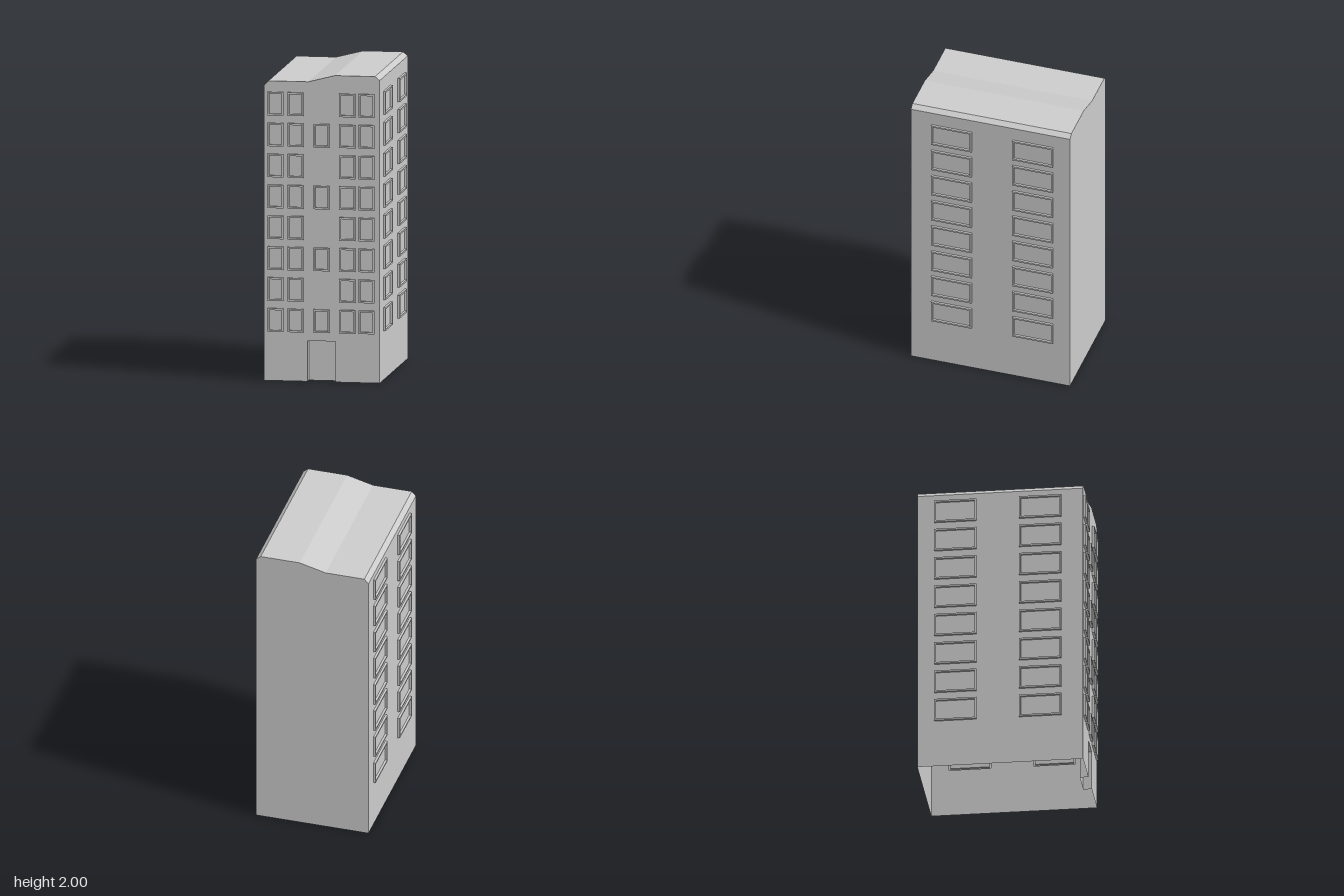
import * as THREE from 'three';

const material = new THREE.MeshStandardMaterial({ color: 0xcccccc, flatShading: true, side: THREE.DoubleSide });

const HALF_W = 0.378, FRONT = 0.532, BACK = -0.545;
const FRAME = 0.011, OUT = 0.015, WINDOW_H = 0.152;
const DOOR = { x0: -0.095, x1: 0.09, h: 0.265, depth: 0.055 };
const rows = Array.from({ length: 8 }, (_, i) => 0.32 + i * 0.2017);

// Roof line from left to right across the front
const roofLine = [[-HALF_W, 1.925], [-0.35, 1.955], [-0.09, 1.955], [0.085, 2], [0.347, 2], [HALF_W, 1.975]];

function addMesh(parent, geometry, name) {
  const mesh = new THREE.Mesh(geometry, material);
  mesh.name = name;
  parent.add(mesh);
  return mesh;
}

// Joins successive loops of 3D points with quads
function loft(loops, closed) {
  const n = loops[0].length, index = [];
  for (let l = 0; l < loops.length - 1; l++) {
    for (let i = 0; i < (closed ? n : n - 1); i++) {
      const a = l * n + i, b = l * n + (i + 1) % n;
      index.push(a, b, b + n, a, b + n, a + n);
    }
  }
  if (closed) { // cap the last loop of four corners
    const s = (loops.length - 1) * n;
    index.push(s, s + 1, s + 2, s, s + 2, s + 3);
  }
  const g = new THREE.BufferGeometry();
  g.setAttribute('position', new THREE.Float32BufferAttribute(loops.flat(2), 3));
  g.setIndex(index);
  const flat = g.toNonIndexed();
  flat.computeVertexNormals();
  return flat;
}

const rect = (x0, y0, x1, y1, z) => [[x0, y0, z], [x1, y0, z], [x1, y1, z], [x0, y1, z]];

// Raised hollow frame around a pane lying in the wall plane
function windowGeometry(w, h) {
  const inner = [FRAME, FRAME, w - FRAME, h - FRAME];
  return loft([rect(0, 0, w, h, 0), rect(0, 0, w, h, OUT), rect(...inner, OUT), rect(...inner, 0)], true);
}

// Thin wall with openings that are filled by framed windows
function addWall(parent, name, outline, windows) {
  const wall = new THREE.Group();
  wall.name = name;
  const shape = new THREE.Shape(outline.map(p => new THREE.Vector2(...p)));
  for (const [x, y, w] of windows) {
    shape.holes.push(new THREE.Path(
      rect(x, y, x + w, y + WINDOW_H, 0).map(p => new THREE.Vector2(p[0], p[1]))));
    addMesh(wall, windowGeometry(w, WINDOW_H), 'window').position.set(x, y, 0);
  }
  addMesh(wall, new THREE.ShapeGeometry(shape), name + 'Surface');
  parent.add(wall);
  return wall;
}

export function createModel() {
  const building = new THREE.Group();
  building.name = 'apartmentBuilding';

  // Front wall: four window columns, a stairwell column on alternate floors, door notch
  const frontWindows = [];
  rows.forEach((y, i) => {
    for (const x of [-0.354, -0.224, 0.115, 0.241]) frontWindows.push([x, y, 0.104]);
    if (i % 2 === 0) frontWindows.push([-0.054, y, 0.104]);
  });
  const roofBack = [...roofLine].reverse();
  const { x0, x1, h, depth } = DOOR;
  const frontOutline = [[-HALF_W, 0], [x0, 0], [x0, h], [x1, h], [x1, 0], [HALF_W, 0], ...roofBack];
  addWall(building, 'frontWall', frontOutline, frontWindows).position.z = FRONT;

  // Plain back wall
  const back = addWall(building, 'backWall', [[-HALF_W, 0], [HALF_W, 0], ...roofLine.map(([x, y], i, a) => [-x, y]).map(([x, y]) => [x, y])], []);
  back.rotation.y = Math.PI;
  back.position.z = BACK;

  // Side walls with two columns of wide windows
  for (const side of [1, -1]) {
    const top = side > 0 ? 1.975 : 1.925;
    const ends = [-side * FRONT, -side * BACK].sort((a, b) => a - b);
    const starts = side > 0 ? [-0.393, 0.157] : [-0.433, 0.117];
    const windows = rows.flatMap(y => starts.map(x => [x, y, 0.274]));
    const outline = [[ends[0], 0], [ends[1], 0], [ends[1], top], [ends[0], top]];
    const wall = addWall(building, side > 0 ? 'leftWall' : 'rightWall', outline, windows);
    wall.rotation.y = side * Math.PI / 2;
    wall.position.x = side * HALF_W;
  }

  // Stepped roof with bevelled eaves
  addMesh(building, loft([FRONT, BACK].map(z => roofLine.map(([x, y]) => [x, y, z])), false), 'roof');

  // Recessed entrance: jambs and lintel, then the door panel
  const doorLine = [[x0, 0], [x0, h], [x1, h], [x1, 0]];
  addMesh(building, loft([FRONT, FRONT - depth].map(z => doorLine.map(([x, y]) => [x, y, z])), false), 'doorRecess');
  const door = addMesh(building, new THREE.PlaneGeometry(x1 - x0, h), 'door');
  door.position.set((x0 + x1) / 2, h / 2, FRONT - depth);

  return building;
}
